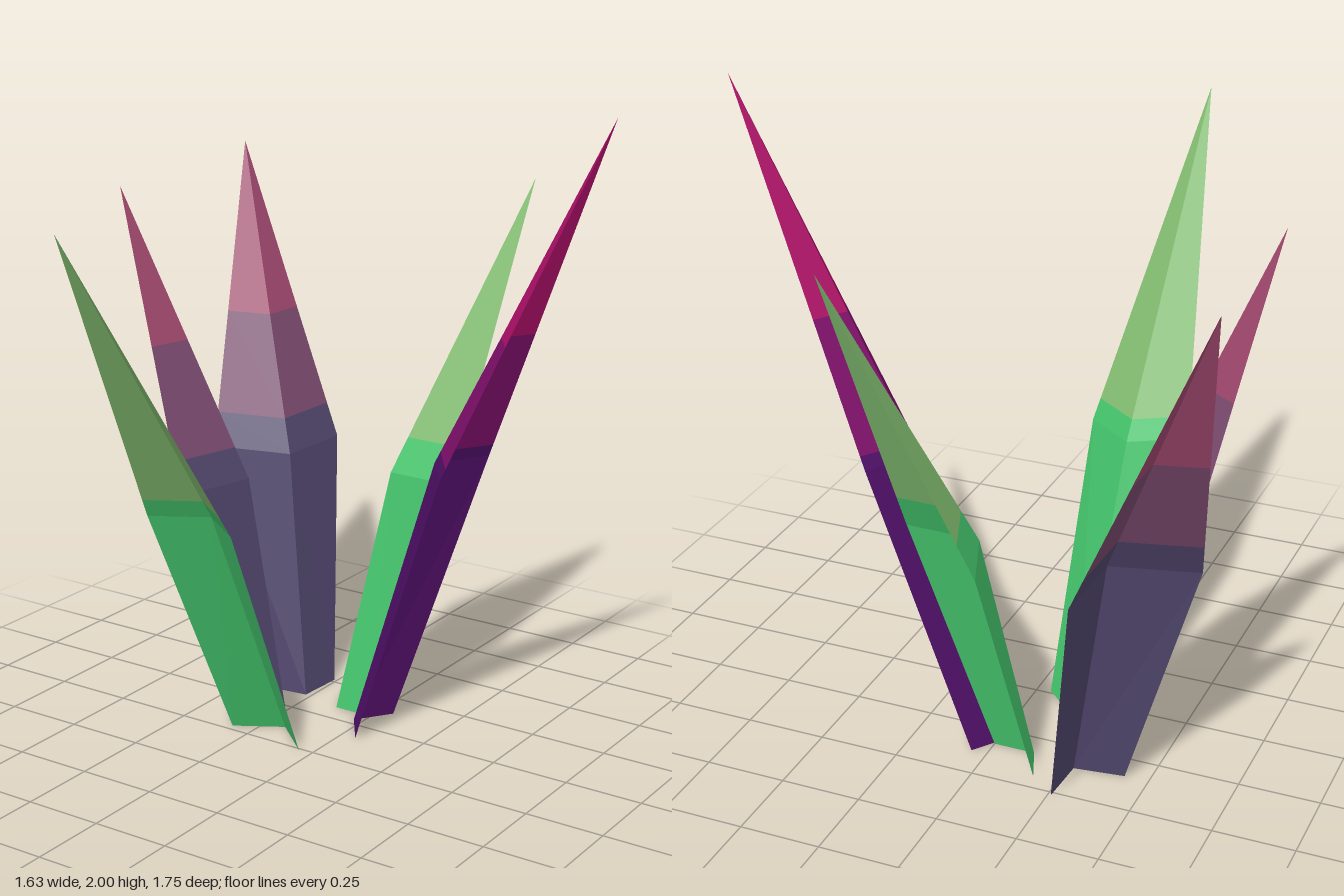
import * as THREE from 'three';

const mat = (name, color) => {
  const m = new THREE.MeshStandardMaterial({ color, side: THREE.DoubleSide, flatShading: true });
  m.name = name;
  return m;
};

// One side-mid-side row of a folded leaf, from [x, z] pairs at one height
const row = (pts, y) => pts.map(([x, z]) => new THREE.Vector3(x, y, z));

// Folded sheet running through the rows, two quads per step
function sheet(rows) {
  const pos = [];
  const tri = (a, b, c) => pos.push(...a.toArray(), ...b.toArray(), ...c.toArray());
  for (let i = 0; i < rows.length - 1; i++) {
    const lo = rows[i], hi = rows[i + 1];
    for (let j = 0; j < 2; j++) {
      tri(lo[j], lo[j + 1], hi[j + 1]);
      if (!hi[j].equals(hi[j + 1])) tri(lo[j], hi[j + 1], hi[j]);
    }
  }
  const g = new THREE.BufferGeometry();
  g.setAttribute('position', new THREE.Float32BufferAttribute(pos, 3));
  g.computeVertexNormals();
  return g;
}

// Leaf: base row, bend row, pointed tip; the colour changes at the heights in cuts
function makeLeaf({ name, base, bend, bendY, tip, cuts, colors }) {
  const leaf = new THREE.Group();
  leaf.name = name;
  const end = new THREE.Vector3(...tip);
  const bendRow = row(bend, bendY);
  const at = (y) => bendRow.map((p) => p.clone().lerp(end, (y - bendY) / (end.y - bendY)));
  const cutRows = [...cuts.map(at), [end, end, end]];
  const parts = ['LowerBlade', 'MiddleBlade', 'UpperBlade'];
  colors.forEach((material, i) => {
    const rows = i === 0 ? [row(base, 0), bendRow, cutRows[0]] : [cutRows[i - 1], cutRows[i]];
    const mesh = new THREE.Mesh(sheet(rows), material);
    mesh.name = name + (i === colors.length - 1 ? parts[2] : parts[i]);
    leaf.add(mesh);
  });
  return leaf;
}

export function createModel() {
  const green = [mat('leafGreen', 0x44c46c), mat('paleGreen', 0x82bd70)];
  const purple = [mat('deepPurple', 0x500f68), mat('plum', 0x80106c), mat('magenta', 0xb0106a)];
  const dusky = [mat('slateViolet', 0x50466c), mat('mauve', 0x7a4a6e), mat('dustyRose', 0xa0486e)];

  const leaves = [
    { name: 'frontLeaf', colors: green, cuts: [0.86], bendY: 0.8, tip: [-0.23, 1.755, 0.87],
      base: [[-0.325, -0.025], [-0.18, -0.11], [-0.045, 0.01]],
      bend: [[-0.365, 0.335], [-0.2, 0.24], [-0.045, 0.355]] },
    { name: 'backLeaf', colors: green, cuts: [0.89], bendY: 0.78, tip: [0.25, 1.69, -0.877],
      base: [[0, -0.33], [-0.13, -0.33], [-0.175, -0.445]],
      bend: [[0.205, -0.475], [-0.025, -0.48], [-0.11, -0.7]] },
    { name: 'leftLeaf', colors: purple, cuts: [0.95, 1.33], bendY: 0.91, tip: [0.81, 2, -0.3],
      base: [[0.05, -0.165], [-0.03, -0.28], [0.05, -0.39]],
      bend: [[0.36, -0.13], [0.25, -0.287], [0.35, -0.443]] },
    { name: 'rightLeaf', colors: dusky, cuts: [0.87, 1.21], bendY: 0.77, tip: [-0.765, 1.685, -0.07],
      base: [[-0.38, -0.335], [-0.27, -0.24], [-0.31, -0.08]],
      bend: [[-0.6, -0.365], [-0.38, -0.202], [-0.45, 0.06]] },
    { name: 'backRightLeaf', colors: dusky, cuts: [0.88, 1.19], bendY: 0.775, tip: [-0.82, 1.72, -0.81],
      base: [[-0.26, -0.515], [-0.27, -0.36], [-0.425, -0.34]],
      bend: [[-0.4, -0.74], [-0.41, -0.475], [-0.668, -0.41]] },
  ];

  const model = new THREE.Group();
  model.name = 'plant';
  leaves.forEach((l) => model.add(makeLeaf(l)));
  return model;
}
